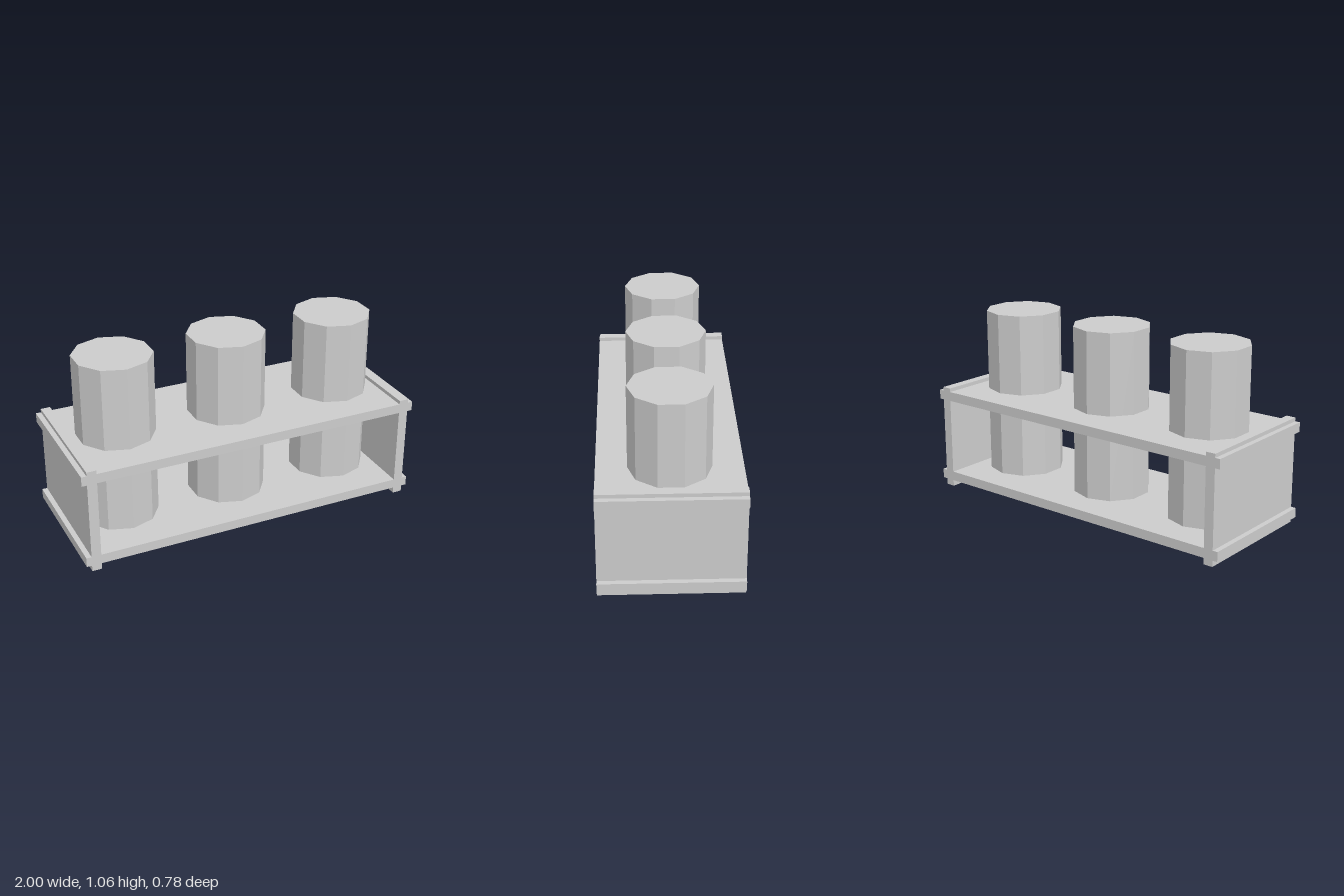
import * as THREE from 'three';

export function createModel() {
  const group = new THREE.Group();
  const grey = new THREE.MeshStandardMaterial({ color: 0xcccccc, flatShading: true });
  grey.name = 'light grey';

  const add = (name, geometry, x, y) => {
    const mesh = new THREE.Mesh(geometry, grey);
    mesh.name = name;
    mesh.position.set(x, y, 0);
    group.add(mesh);
  };

  const depth = 0.778;
  const thick = 0.055;

  // Two long shelves that poke out past the end panels
  const shelf = new THREE.BoxGeometry(2, thick, depth);
  add('bottomShelf', shelf, 0, 0.063);
  add('topShelf', shelf, 0, 0.563);

  // Upright end panels, standing slightly past both shelves
  const panel = new THREE.BoxGeometry(thick, 0.612, depth);
  add('leftEndPanel', panel, 0.943, 0.306);
  add('rightEndPanel', panel, -0.943, 0.306);

  // Three ten-sided canisters resting on the bottom shelf
  const base = 0.0905, top = 1.062;
  const canister = new THREE.CylinderGeometry(0.222, 0.222, top - base, 10);
  ['rightCanister', 'middleCanister', 'leftCanister'].forEach((name, i) =>
    add(name, canister, (i - 1) * 0.666, (base + top) / 2));

  return group;
}
